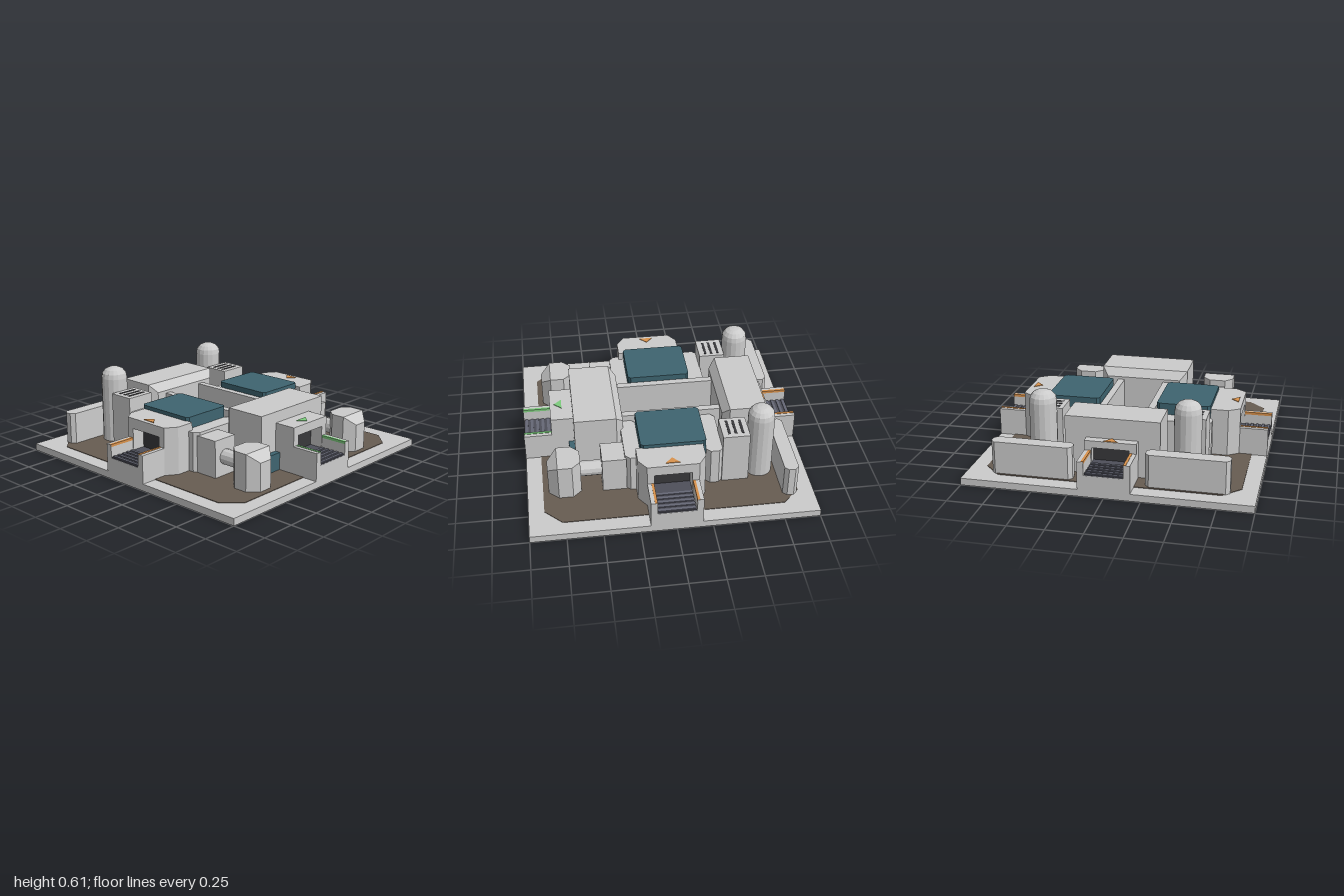
import * as THREE from 'three';

const mat = (color) => new THREE.MeshStandardMaterial({ color, flatShading: true });
const M = {
  grey: mat(0xcccccc), teal: mat(0x3e6470), brown: mat(0x675c52), dark: mat(0x38383b),
  belt: mat(0x4e4f5a), slat: mat(0x666876), orange: mat(0xd9924c), green: mat(0x7dcc7d),
};

function add(parent, name, geometry, material = M.grey) {
  const mesh = new THREE.Mesh(geometry, material);
  mesh.name = name;
  parent.add(mesh);
  return mesh;
}

// Box given by its limits
function box(parent, name, x0, x1, y0, y1, z0, z1, material) {
  const g = new THREE.BoxGeometry(Math.abs(x1 - x0), y1 - y0, Math.abs(z1 - z0));
  g.translate((x0 + x1) / 2, (y0 + y1) / 2, (z0 + z1) / 2);
  return add(parent, name, g, material);
}

// Upright prism over a plan of [x, z] points
function prism(parent, name, plan, y0, y1, material) {
  const shape = new THREE.Shape(plan.map(([x, z]) => new THREE.Vector2(x, z)));
  const g = new THREE.ExtrudeGeometry(shape, { depth: y1 - y0, bevelEnabled: false });
  g.rotateX(Math.PI / 2).translate(0, y1, 0);
  return add(parent, name, g, material);
}

// Rectangle plan with cut corners
const cutRect = (x0, x1, z0, z1, c) => [
  [x0 + c, z0], [x1 - c, z0], [x1, z0 + c], [x1, z1 - c],
  [x1 - c, z1], [x0 + c, z1], [x0, z1 - c], [x0, z0 + c],
];

// Prism end that narrows and slopes down from zFold to zEnd
function slopedEnd(parent, name, cx, halfWidth, cut, zFold, zEnd, y0, y1, drop) {
  const w = halfWidth - cut;
  const mesh = prism(parent, name, [
    [cx - halfWidth, zFold], [cx + halfWidth, zFold], [cx + w, zEnd], [cx - w, zEnd],
  ], y0, y1);
  const p = mesh.geometry.attributes.position;
  for (let i = 0; i < p.count; i++) {
    if (Math.abs(p.getZ(i) - zEnd) < 1e-4 && p.getY(i) > y1 - 1e-4) p.setY(i, y1 - drop);
  }
  mesh.geometry.computeVertexNormals();
}

// Conveyor port facing +z, turned into place
function port(root, name, { turn, inner, wide = 0.18, height, openTop, color, arrow }) {
  const port = new THREE.Group();
  port.name = name;
  port.rotation.y = turn;
  root.add(port);

  // Housing in three layers, the middle one notched for the opening
  const bend = wide > 0.18 ? 0.72 : 0.79;
  const left = [[-0.18, 0.8], [-wide, bend], [-wide, inner]];
  const right = [[wide, inner], [wide, bend], [0.18, 0.8]];
  const back = Math.max(inner + 0.01, 0.7);
  const notch = [[0.13, 0.8], [0.13, back], [-0.13, back], [-0.13, 0.8]];
  prism(port, 'housingBase', [...left, ...right], 0.05, 0.16);
  prism(port, 'housingOpening', [...left, ...right, ...notch], 0.16, openTop);
  prism(port, 'housingTop', [...left, ...right], openTop, height);
  box(port, 'openingBack', -0.13, 0.13, 0.16, openTop, back, back + 0.005, M.dark);

  // Belt trough
  box(port, 'beltBed', -0.135, 0.135, 0.05, 0.155, 0.8, 1);
  box(port, 'belt', -0.13, 0.13, 0.155, 0.163, back, 0.998, M.belt);
  for (let i = 0; i < 5; i++) {
    const z = 0.82 + i * 0.04;
    box(port, 'beltSlat', -0.13, 0.13, 0.163, 0.169, z - 0.01, z + 0.01, M.slat);
  }
  for (const s of [-1, 1]) {
    box(port, 'troughWall', s * 0.135, s * 0.18, 0.05, 0.25, 0.8, 1);
    box(port, 'edgeStrip', s * 0.134, s * 0.152, 0.235, 0.253, 0.802, 0.998, color);
  }

  // Flow arrow on the roof
  const [base, tip] = arrow > 0 ? [0.715, 0.77] : [0.77, 0.715];
  const off = inner < -0.5 ? 0 : (inner > 0.7 ? 0.025 : 0);
  prism(port, 'flowArrow', [[-0.05, base + off], [0.05, base + off], [0, tip + off]],
    height, height + 0.004, color);
}

export function createModel() {
  const root = new THREE.Group();
  root.name = 'factory';

  // Ground plate and yard
  box(root, 'basePlate', -1, 1, 0, 0.05, -1, 1);
  prism(root, 'yard', cutRect(-0.89, 0.89, -0.89, 0.89, 0.12), 0.045, 0.054, M.brown);

  // Front and back halls, sloped toward the middle
  box(root, 'frontHall', -0.33, 0.33, 0.05, 0.465, 0.34, 0.64);
  slopedEnd(root, 'frontHallSlope', 0, 0.33, 0.05, 0.34, 0.29, 0.05, 0.465, 0.06);
  box(root, 'backHall', -0.33, 0.33, 0.05, 0.465, -0.74, -0.475);
  slopedEnd(root, 'backHallSlope', 0, 0.33, 0.05, -0.475, -0.425, 0.05, 0.465, 0.06);

  // Central channel
  box(root, 'channelFloor', -0.15, 0.15, 0.05, 0.1, -0.43, 0.3, M.dark);

  // Ports on all four sides
  const quarter = Math.PI / 2;
  port(root, 'frontPort', { turn: 0, inner: 0.63, height: 0.385, openTop: 0.32, color: M.green, arrow: 1 });
  port(root, 'backPort', { turn: 2 * quarter, inner: 0.73, height: 0.32, openTop: 0.27, color: M.orange, arrow: -1 });
  for (const s of [-1, 1]) {
    port(root, s > 0 ? 'leftPort' : 'rightPort', {
      turn: s * quarter, inner: 0.585, wide: 0.235, height: 0.395, openTop: 0.32, color: M.orange, arrow: -1,
    });
  }

  // Mirrored side structures
  for (const s of [-1, 1]) {
    const side = new THREE.Group();
    side.name = s > 0 ? 'leftSide' : 'rightSide';
    root.add(side);
    const plan = (x0, x1, z0, z1, c) => cutRect(x0, x1, z0, z1, c).map(([x, z]) => [s * x, z]);

    box(side, 'channelWall', s * 0.15, s * 0.2, 0.05, 0.385, -0.43, 0.3);
    box(side, 'hallFoot', s * 0.18, s * 0.32, 0.05, 0.18, 0.63, 0.68, M.teal);
    prism(side, 'coloredBlock', plan(0.21, 0.595, -0.26, 0.2, 0.02), 0.05, 0.422, M.teal);
    prism(side, 'frontShoulder', plan(0.2, 0.62, 0.19, 0.31, 0.035), 0.05, 0.34);
    prism(side, 'backShoulder', plan(0.2, 0.62, -0.38, -0.26, 0.03), 0.05, 0.34);

    // Pump block, pipe and tank
    box(side, 'pumpBlock', s * 0.41, s * 0.605, 0.05, 0.32, 0.3, 0.47);
    const pipe = new THREE.CylinderGeometry(0.055, 0.055, 0.2, 12);
    pipe.rotateX(quarter).translate(s * 0.505, 0.187, 0.55);
    add(side, 'pipe', pipe);
    const cx = s * 0.527;
    prism(side, 'tankBody', [
      [cx - 0.06, 0.62], [cx + 0.06, 0.62], [cx + 0.117, 0.68],
      [cx + 0.117, 0.78], [cx - 0.117, 0.78], [cx - 0.117, 0.68],
    ], 0.05, 0.315);
    slopedEnd(side, 'tankSlope', cx, 0.117, 0.065, 0.78, 0.85, 0.05, 0.315, 0.06);

    // Vent block with roof slits
    box(side, 'ventBlock', s * 0.395, s * 0.61, 0.05, 0.443, -0.565, -0.375);
    for (const z of [-0.52, -0.47, -0.425]) {
      box(side, 'ventSlit', s * 0.425, s * 0.575, 0.435, 0.446, z - 0.009, z + 0.009, M.dark);
    }

    // Domed silo
    const profile = [[0.095, 0.05], [0.095, 0.53], [0.088, 0.565], [0.067, 0.592], [0.036, 0.607], [0, 0.611]];
    const silo = new THREE.LatheGeometry(profile.map(([r, y]) => new THREE.Vector2(r, y)), 16);
    silo.translate(s * 0.503, 0, -0.66);
    add(side, 'silo', silo);

    // Back wall
    prism(side, 'backWall', plan(0.25, 0.82, -0.875, -0.775, 0.027), 0.05, 0.285);
  }
  return root;
}
